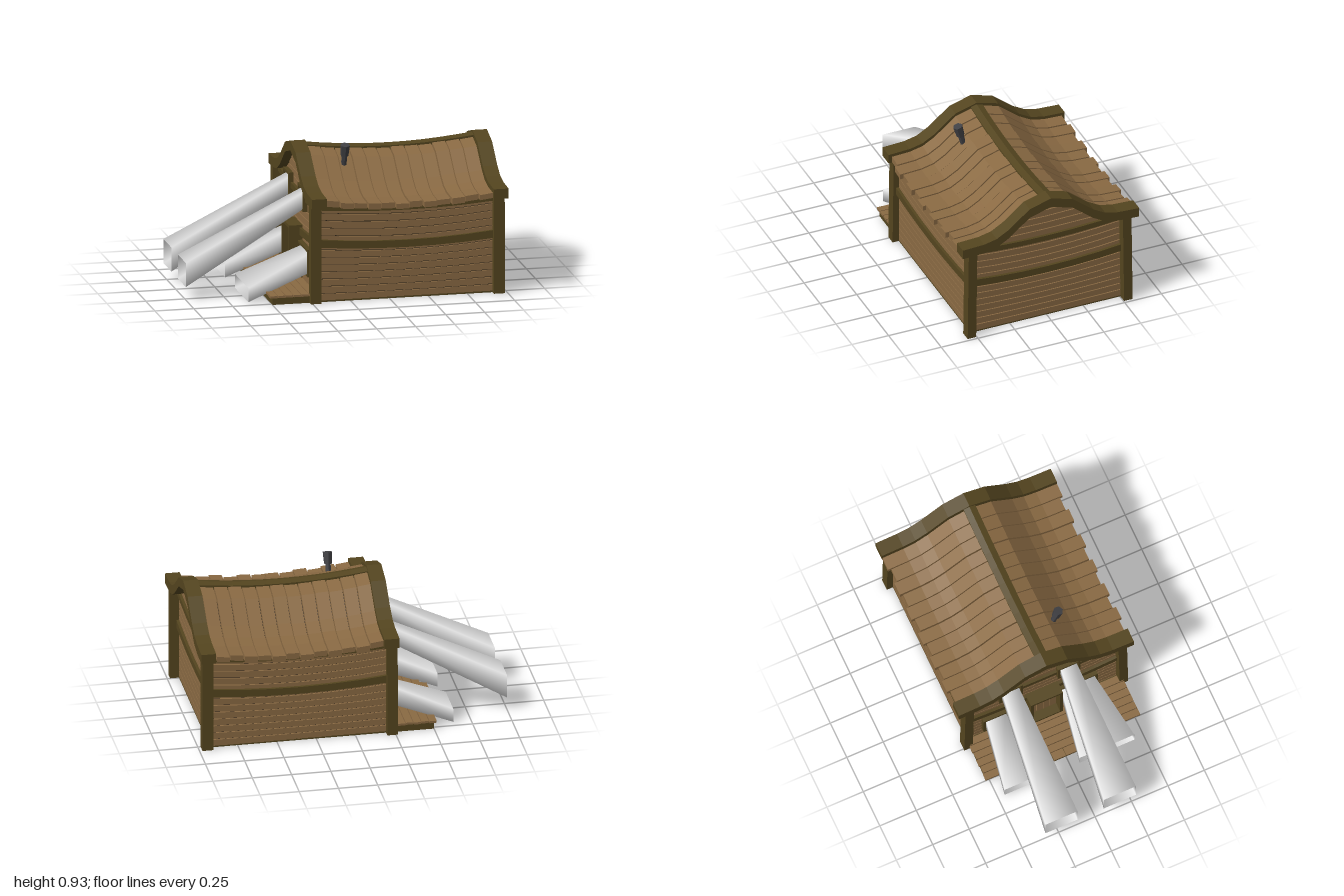
import * as THREE from 'three';

const mat = (name, color, side = THREE.FrontSide) => {
  const m = new THREE.MeshStandardMaterial({ color, side });
  m.name = name;
  return m;
};

// Upper outline of the curved roof, from ridge to eave: [z, y]
const ROOF = [[0, 0.923], [0.145, 0.88], [0.29, 0.762], [0.37, 0.716], [0.455, 0.697], [0.6, 0.69]];
const X0 = -0.21, X1 = 0.925, MID = 0.36;

export function createModel() {
  const root = new THREE.Group();
  const plank = mat('plankWood', 0x8a6a43);
  const trim = mat('darkTimber', 0x54451f);
  const gap = mat('gapShadow', 0x33271a);
  const metal = mat('chimneyMetal', 0x414145);
  const light = mat('lightShaft', 0xe4e4e4, THREE.DoubleSide);

  const group = (name) => {
    const g = new THREE.Group();
    g.name = name;
    root.add(g);
    return g;
  };
  const add = (parent, name, geo, m) => {
    const mesh = new THREE.Mesh(geo, m);
    mesh.name = name;
    parent.add(mesh);
    return mesh;
  };
  // Box given by its limits
  const box = (parent, name, m, x0, x1, y0, y1, z0, z1) =>
    add(parent, name, new THREE.BoxGeometry(x1 - x0, y1 - y0, z1 - z0)
      .translate((x0 + x1) / 2, (y0 + y1) / 2, (z0 + z1) / 2), m);
  // Extrude an outline drawn in (z, y) along x from x0 to x1
  const alongX = (pts, x0, x1, steps = 1) =>
    new THREE.ExtrudeGeometry(new THREE.Shape(pts.map(p => new THREE.Vector2(...p))),
      { depth: x1 - x0, steps, bevelEnabled: false }).rotateY(-Math.PI / 2).translate(x1, 0, 0);
  const alongZ = (pts, z0, z1) =>
    new THREE.ExtrudeGeometry(new THREE.Shape(pts.map(p => new THREE.Vector2(...p))),
      { depth: z1 - z0, bevelEnabled: false }).translate(0, 0, z0);

  // Outline of a board that sags in the middle
  const sagBoard = (u0, u1, y0, y1, s0, s1) => {
    const low = [], high = [];
    for (let i = 0; i <= 6; i++) {
      const t = i / 6, k = 4 * t * (1 - t), u = u0 + (u1 - u0) * t;
      low.push([u, y0 - s0 * k]);
      high.unshift([u, y1 - s1 * k]);
    }
    return [...low, ...high];
  };
  // Roof outline lowered by a top and a bottom offset, cut off at half width w
  const roofY = (z) => {
    for (let i = 1; i < ROOF.length; i++) {
      const [a, b] = [ROOF[i - 1], ROOF[i]];
      if (z <= b[0]) return a[1] + (b[1] - a[1]) * (z - a[0]) / (b[0] - a[0]);
    }
    return ROOF[5][1];
  };
  const arch = (w, off) => {
    const half = [...ROOF.slice(0, -1).filter(p => p[0] < w), [w, roofY(w)]].map(([z, y]) => [z, y - off]);
    return [...half.slice(1).reverse().map(([z, y]) => [-z, y]), ...half];
  };
  const band = (w, top, bottom) => [...arch(w, bottom), ...arch(w, top).reverse()];
  const roofSag = (geo) => {
    const p = geo.attributes.position;
    for (let i = 0; i < p.count; i++) {
      const t = (p.getX(i) - MID) / 0.54;
      p.setY(i, p.getY(i) - 0.037 * Math.max(0, 1 - t * t));
    }
    geo.computeVertexNormals();
    return geo;
  };

  // Dark core seen between the planks
  const core = group('core');
  box(core, 'wallCore', gap, X0 + 0.01, X1 - 0.01, 0.015, 0.59, -0.51, 0.51);
  add(core, 'atticCore', roofSag(alongX([[0.51, 0.57], ...arch(0.51, 0.055).reverse(), [-0.51, 0.57]], X0 + 0.01, X1 - 0.01, 8)), gap);
  box(core, 'floor', trim, -0.5, X1, 0.006, 0.016, -0.52, 0.52);

  // Sagging wall planks and belts on all four sides
  const walls = group('walls');
  const drop = (y) => 0.03 * Math.min(1, y / 0.4);
  const wallBoard = (name, m, y0, y1, s0, s1, out) => {
    const front = sagBoard(X0, X1, y0, y1, s0, s1);
    const side = sagBoard(-0.52, 0.52, y0, y1, s0, s1);
    add(walls, name + 'Front', alongZ(front, 0.505, 0.52 + out), m);
    add(walls, name + 'Back', alongZ(front, -0.52 - out, -0.505), m);
    add(walls, name + 'RightEnd', alongX(side, X1 - 0.015, X1 + out), m);
    add(walls, name + 'LeftEnd', alongX(side, X0 - out, X0 + 0.015), m);
  };
  const pitch = 0.0475;
  for (let k = 0; k < 13; k++) {
    const y0 = 0.015 + k * pitch, y1 = y0 + pitch - 0.006;
    wallBoard('wallPlank', plank, y0, y1, drop(y0), drop(y1), 0);
  }
  wallBoard('middleBelt', trim, 0.362, 0.412, 0.027, 0.031, 0.018);
  wallBoard('upperBelt', trim, 0.602, 0.638, 0.026, 0.026, 0.018);

  // Gable planks, narrowing under the roof curve
  const halfWidth = (y) => {
    let z = 0;
    while (z < 0.52 && roofY(z) - 0.045 > y) z += 0.005;
    return z;
  };
  for (let y = 0.615; y < 0.87; y += pitch) {
    const y1 = Math.min(y + pitch - 0.006, 0.875), a = halfWidth(y), b = Math.max(0.005, halfWidth(y1));
    const pts = [[-a, y], [0, y - 0.006], [a, y], [b, y1], [0, y1 - 0.006], [-b, y1]];
    add(walls, 'gablePlank', alongX(pts, X1 - 0.015, X1), plank);
    add(walls, 'gablePlank', alongX(pts, X0, X0 + 0.015), plank);
  }

  // Corner posts, splayed a little at the foot
  const posts = group('cornerPosts');
  for (const [x0, x1] of [[-0.262, -0.195], [0.912, 0.982]]) {
    for (const s of [-1, 1]) {
      const post = box(posts, 'cornerPost', trim, x0, x1, 0.006, 0.645, s * 0.525 - 0.029, s * 0.525 + 0.029);
      const p = post.geometry.attributes.position;
      for (let i = 0; i < p.count; i++) if (p.getY(i) < 0.1) p.setZ(i, p.getZ(i) + s * 0.008);
    }
  }

  // Roof: curved planks, end trims and ridge beam
  const roof = group('roof');
  const n = 12, w = 1.07 / n;
  for (let i = 0; i < n; i++) {
    const x = -0.17 + i * w;
    add(roof, 'roofPlank', roofSag(alongX(band(i % 2 ? 0.598 : 0.578, 0.016 + (i % 3) * 0.003, 0.055), x + 0.003, x + w - 0.004)), plank);
  }
  for (const [x0, x1] of [[-0.265, -0.17], [0.902, 0.996]]) add(roof, 'gableTrim', alongX(band(0.6, 0, 0.064), x0, x1), trim);
  add(roof, 'ridgeBeam', roofSag(alongX([[-0.04, 0.87], [0.04, 0.87], [0.04, 0.902], [0, 0.913], [-0.04, 0.902]], -0.18, 0.91, 10)), trim);

  // Leaning chimney pipe with a wider cap
  const chimney = group('chimney');
  const pipe = (name, r0, r1, h, y) => {
    const geo = new THREE.CylinderGeometry(r1, r0, h, 6).toNonIndexed();
    geo.computeVertexNormals();
    add(chimney, name, geo, metal).position.y = y;
  };
  pipe('pipe', 0.018, 0.018, 0.11, 0.05);
  pipe('cap', 0.026, 0.031, 0.075, 0.115);
  chimney.position.set(0.036, 0.785, 0.178);
  chimney.rotation.x = 0.27;

  // Porch deck, low step and door on the left end
  const porch = group('porch');
  box(porch, 'deckFrame', trim, -0.5, -0.2, 0.012, 0.05, -0.52, 0.52);
  for (let i = 0; i < 6; i++) {
    const x = -0.515 + i * 0.05;
    box(porch, 'deckPlank', plank, x, x + 0.045, 0.05, 0.064, -0.53 + (i % 2) * 0.006, 0.53);
  }
  box(porch, 'stepBase', trim, -0.56, -0.49, 0.008, 0.03, -0.16, 0.08);
  for (let i = 0; i < 3; i++) {
    const z = -0.165 + i * 0.083;
    box(porch, 'stepPlank', plank, -0.565, -0.49, 0.03, 0.042, z, z + 0.079);
  }
  const frame = (name, z0, z1, y0, y1, x0, t) => {
    const g = group(name);
    box(g, 'opening', gap, -0.216, X0, y0, y1, z0, z1);
    for (const z of [z0 - t, z1]) box(g, 'jamb', trim, x0, X0, y0 - t, y1 + t, z, z + t);
    for (const y of [y0 - t, y1]) box(g, 'rail', trim, x0, X0, y, y + t, z0, z1);
  };
  frame('doorFrame', -0.1, 0.08, 0.08, 0.38, -0.295, 0.02);
  for (let i = 0; i < 4; i++) box(porch, 'doorPlank', plank, -0.235, -0.215, 0.08, 0.38, -0.098 + i * 0.045, -0.057 + i * 0.045);

  // Windows with shafts of light: near and far rectangles [z0, z1, y0, y1]
  const shafts = group('lightShafts');
  const shaft = (near, far, xFar) => {
    const xNear = -0.215;
    const geo = new THREE.CylinderGeometry(1, 1, 1, 4, 1, true, Math.PI / 4);
    const p = geo.attributes.position, nrm = geo.attributes.normal;
    for (let i = 0; i < p.count; i++) {
      const r = p.getY(i) > 0 ? near : far;
      const u = p.getX(i) > 0 ? 1 : 0, v = p.getZ(i) > 0 ? 1 : 0;
      nrm.setXYZ(i, 0, v ? 0.707 : -0.707, u ? 0.707 : -0.707);
      p.setXYZ(i, r === near ? xNear : xFar, r[2 + v], r[u]);
    }
    // Reverse the winding, as the axes were swapped into a mirrored frame if needed
    const a = new THREE.Vector3(), b = new THREE.Vector3(), c = new THREE.Vector3(), m = new THREE.Vector3();
    const ix = geo.index;
    for (let i = 0; i < ix.count; i += 3) {
      const id = [0, 1, 2].map(k => ix.getX(i + k));
      [a, b, c].forEach((q, k) => q.fromBufferAttribute(p, id[k]));
      m.set(0, 0, 0);
      id.forEach(k => m.add(new THREE.Vector3().fromBufferAttribute(nrm, k)));
      if (b.sub(a).cross(c.sub(a)).dot(m) < 0) {
        ix.setX(i + 1, id[2]);
        ix.setX(i + 2, id[1]);
      }
    }
    add(shafts, 'lightShaft', geo, light);
    frame('windowFrame', near[0] - 0.01, near[1] + 0.01, near[2] - 0.01, near[3] + 0.01, -0.24, 0.015);
  };
  shaft([-0.285, -0.175, 0.545, 0.65], [-0.34, -0.12, 0.09, 0.245], -1);
  shaft([0.115, 0.22, 0.545, 0.65], [0.06, 0.28, 0.09, 0.245], -1);
  shaft([-0.395, -0.265, 0.155, 0.28], [-0.455, -0.205, 0.01, 0.1], -0.635);
  shaft([0.12, 0.34, 0.155, 0.28], [0.06, 0.435, 0.01, 0.1], -0.635);

  return root;
}
